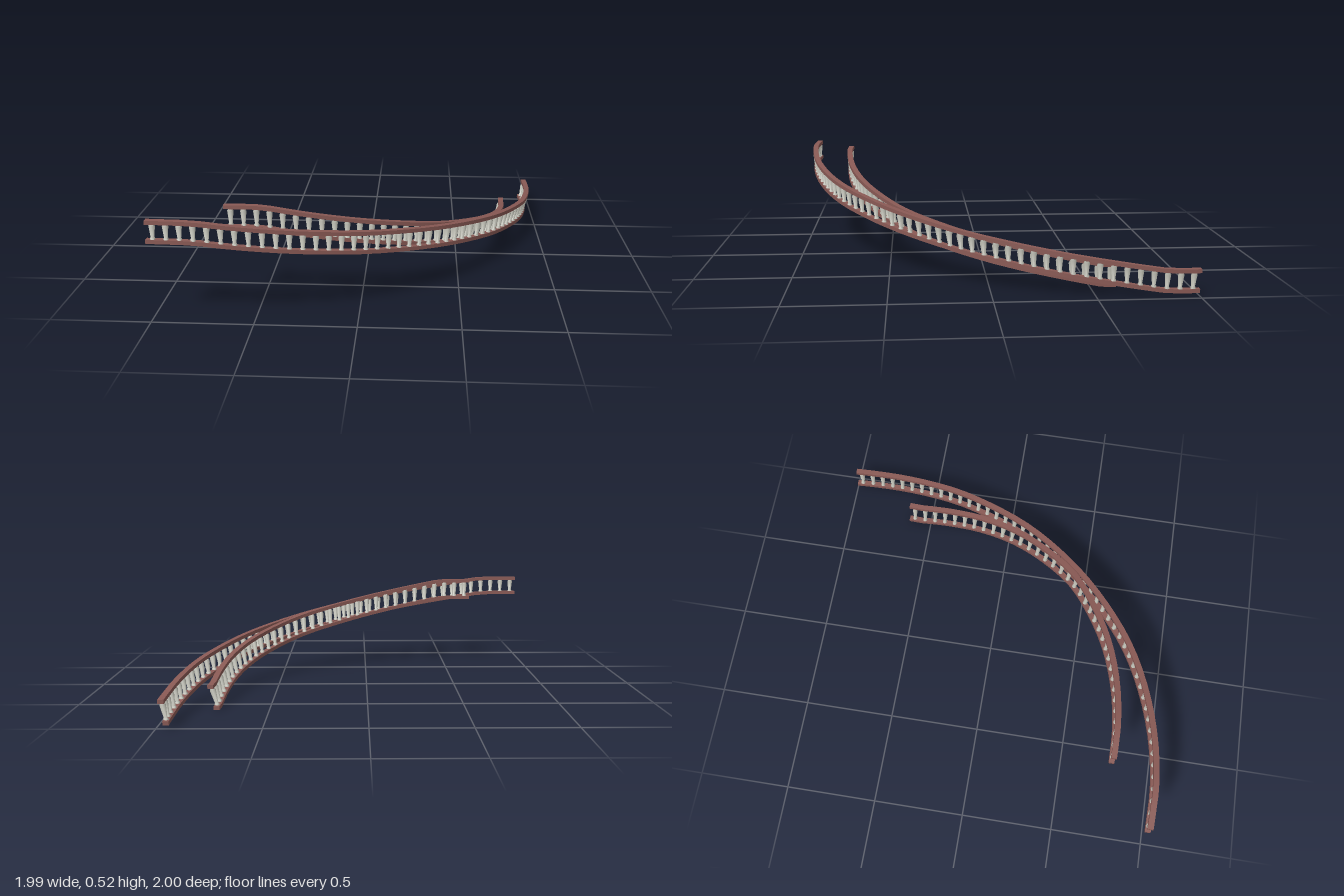
import * as THREE from 'three';
import { toCreasedNormals } from 'three/addons/utils/BufferGeometryUtils.js';

const railMaterial = new THREE.MeshStandardMaterial({ color: 0x8a5a55 });
const postMaterial = new THREE.MeshStandardMaterial({ color: 0xb8b8ae });
const UP = new THREE.Vector3(0, 1, 0);

// Sweep a rectangle along a list of { p, n } stations (n = horizontal sideways direction)
function sweepRail(stations, width, height) {
  const corners = [[-1, -1], [-1, 1], [1, 1], [1, -1]];
  const positions = [], index = [];
  for (const { p, n } of stations) {
    for (const [a, b] of corners) {
      positions.push(p.x + n.x * a * width / 2, p.y + b * height / 2, p.z + n.z * a * width / 2);
    }
  }
  for (let i = 0; i < stations.length - 1; i++) {
    for (let j = 0; j < 4; j++) {
      const a = i * 4 + j, b = i * 4 + (j + 1) % 4;
      index.push(a, a + 4, b, b, a + 4, b + 4);
    }
  }
  const e = (stations.length - 1) * 4;
  index.push(0, 1, 2, 0, 2, 3, e, e + 2, e + 1, e, e + 3, e + 2);
  const geometry = new THREE.BufferGeometry();
  geometry.setAttribute('position', new THREE.Float32BufferAttribute(positions, 3));
  geometry.setIndex(index);
  return toCreasedNormals(geometry, 0.6);
}

// Tapered baluster of unit height, wider at the top, with a small foot collar
const balusterGeometry = toCreasedNormals(new THREE.LatheGeometry([
  [0, 0], [0.013, 0], [0.013, 0.16], [0.009, 0.2],
  [0.016, 0.8], [0.012, 0.86], [0.012, 1], [0, 1],
].map(([r, y]) => new THREE.Vector2(r, y)), 8), 0.9);

// One curved, descending balustrade; the foot leans inward towards the lower end
function balustrade(name, { plan, top, bottom, flat, lean, segments, spacing }) {
  const group = new THREE.Group();
  group.name = name;
  const curve = new THREE.CatmullRomCurve3(plan.map(([x, z]) => new THREE.Vector3(x, 0, z)));
  curve.arcLengthDivisions = 400;
  const station = (t) => {
    const p = curve.getPointAt(t);
    const d = curve.getTangentAt(t);
    const n = new THREE.Vector3(d.z, 0, -d.x);
    const s = THREE.MathUtils.clamp((t - flat[0]) / (flat[1] - flat[0]), 0, 1);
    const high = p.clone().setY(THREE.MathUtils.lerp(top[0], top[1], s));
    const low = p.clone().addScaledVector(n, lean * t).setY(THREE.MathUtils.lerp(bottom[0], bottom[1], s));
    return { high, low, n };
  };

  const stations = Array.from({ length: segments + 1 }, (_, i) => station(i / segments));
  for (const [part, key] of [['handrail', 'high'], ['bottomRail', 'low']]) {
    const rail = new THREE.Mesh(
      sweepRail(stations.map((s) => ({ p: s[key], n: s.n })), 0.03, 0.02), railMaterial);
    rail.name = part;
    group.add(rail);
  }

  // Balusters between the two rails
  const count = Math.round(curve.getLength() / spacing);
  for (let i = 0; i < count; i++) {
    const { high, low } = station((i + 0.5) / count);
    const axis = high.clone().sub(low);
    const post = new THREE.Mesh(balusterGeometry, postMaterial);
    post.name = 'baluster';
    post.position.copy(low);
    post.scale.y = axis.length();
    post.quaternion.setFromUnitVectors(UP, axis.normalize());
    group.add(post);
  }
  return group;
}

export function createModel() {
  const model = new THREE.Group();
  model.name = 'curvedBalustrades';
  model.add(balustrade('outerBalustrade', {
    plan: [[-1, 0.976], [-0.75, 0.982], [-0.49, 0.95], [-0.24, 0.882], [0, 0.778], [0.2, 0.648],
      [0.4, 0.48], [0.57, 0.292], [0.705, 0.1], [0.805, -0.1], [0.895, -0.34], [0.95, -0.6],
      [0.976, -0.85], [0.973, -1]],
    top: [0.508, 0.13], bottom: [0.412, 0.026], flat: [0.07, 0.955],
    lean: 0.02, segments: 36, spacing: 0.065,
  }));
  model.add(balustrade('innerBalustrade', {
    plan: [[-0.67, 0.752], [-0.48, 0.752], [-0.24, 0.724], [0, 0.657], [0.2, 0.562], [0.4, 0.428],
      [0.55, 0.253], [0.665, 0.06], [0.74, -0.15], [0.78, -0.38], [0.797, -0.63]],
    top: [0.515, 0.12], bottom: [0.408, 0.01], flat: [0.08, 0.97],
    lean: 0.03, segments: 30, spacing: 0.065,
  }));
  return model;
}
